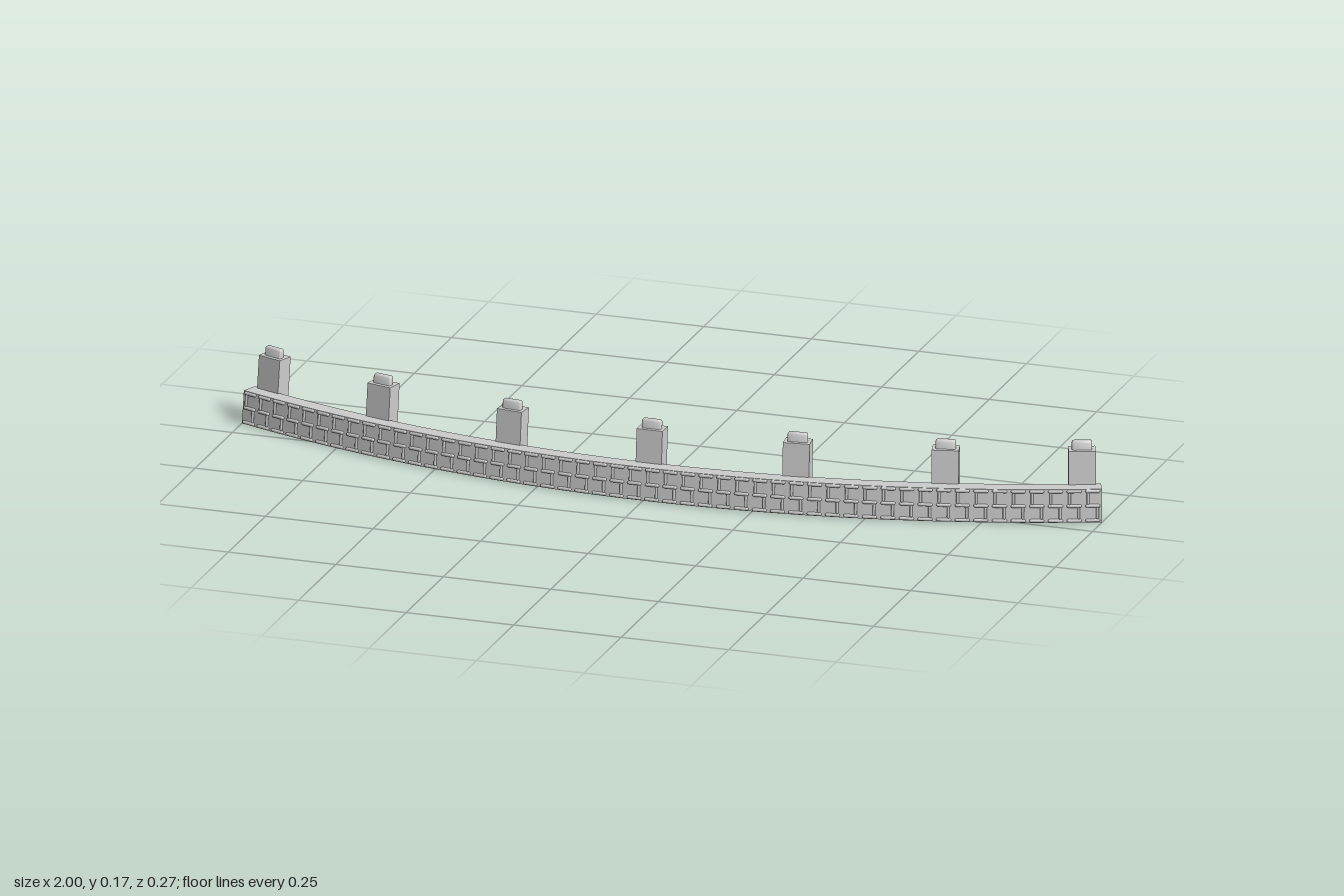
import * as THREE from 'three';
import { mergeGeometries, toCreasedNormals } from 'three/addons/utils/BufferGeometryUtils.js';
import { RoundedBoxGeometry } from 'three/addons/geometries/RoundedBoxGeometry.js';

const CENTRE_Z = -2.529;   // centre of the arc
const R_OUT = 2.66, R_IN = 2.624;
const HALF = Math.asin(1 / R_OUT);
const WALL_H = 0.075;
const LEAN = 0.087;        // backward lean per unit of height

const grey = new THREE.MeshStandardMaterial({ color: 0xcccccc, side: THREE.DoubleSide });

function add(parent, name, geometry) {
  const mesh = new THREE.Mesh(geometry, grey);
  mesh.name = name;
  parent.add(mesh);
  return mesh;
}

// Lean a shape backwards by shearing z with height
function lean(geometry) {
  geometry.applyMatrix4(new THREE.Matrix4().set(
    1, 0, 0, 0,
    0, 1, 0, 0,
    0, -LEAN, 1, 0,
    0, 0, 0, 1));
  geometry.computeVertexNormals();
  return toCreasedNormals(geometry, 0.6);
}

function rect(shape, w, d) {
  return shape.moveTo(-w / 2, -d / 2).lineTo(w / 2, -d / 2).lineTo(w / 2, d / 2).lineTo(-w / 2, d / 2).closePath();
}

// Curved leaning wall with closed ends
function buildWall() {
  const wall = new THREE.Group();
  wall.name = 'wall';
  const shift = LEAN * WALL_H;
  const profile = [
    [R_IN, 0], [R_OUT, 0], [R_OUT - shift, WALL_H], [R_IN - shift, WALL_H], [R_IN, 0],
  ].map(([r, y]) => new THREE.Vector2(r, y));
  add(wall, 'wallBody', toCreasedNormals(new THREE.LatheGeometry(profile, 50, -HALF, 2 * HALF), 0.5));
  for (const side of [-1, 1]) {
    const end = add(wall, side > 0 ? 'leftEnd' : 'rightEnd', new THREE.ShapeGeometry(new THREE.Shape(profile)));
    end.rotation.y = side * HALF - Math.PI / 2;
  }
  return wall;
}

// Raised courses and joints on the front face
function buildRelief() {
  const relief = new THREE.Group();
  relief.name = 'frontRelief';
  const columns = 50, step = 2 * HALF / columns;
  const place = (source, angle, y) => source.clone()
    .translate(0, y, R_OUT + 0.002 - LEAN * y)
    .rotateY(angle);

  const bar = new THREE.CapsuleGeometry(0.004, 0.025, 3, 8).rotateZ(Math.PI / 2);
  [0.005, 0.038, 0.071].forEach((y, row) => {
    const bars = [];
    for (let i = 0; i < columns; i++) bars.push(place(bar, -HALF + (i + 0.5) * step, y));
    add(relief, 'course' + (row + 1), mergeGeometries(bars));
  });

  const joint = new THREE.CapsuleGeometry(0.0032, 0.021, 2, 8).rotateX(-LEAN);
  [0.0215, 0.0545].forEach((y, row) => {
    const joints = [];
    for (let i = 0; i < columns; i++) joints.push(place(joint, -HALF + (i + (row ? 0.25 : 0.75)) * step, y));
    add(relief, 'joints' + (row + 1), mergeGeometries(joints));
  });
  return relief;
}

// Leaning post with a socket underneath and a tenon on top
function buildPost(bodyGeometry, tenonGeometry, angle) {
  const post = new THREE.Group();
  post.name = 'post';
  const radius = 2.6105;
  post.position.set(Math.sin(angle) * radius, 0, Math.cos(angle) * radius);
  post.rotation.y = angle;
  add(post, 'postBody', bodyGeometry);
  add(post, 'tenon', tenonGeometry);
  return post;
}

export function createModel() {
  const model = new THREE.Group();
  model.name = 'curvedParapet';
  const arc = new THREE.Group();
  arc.name = 'arc';
  arc.position.z = CENTRE_Z;
  model.add(arc);

  arc.add(buildWall(), buildRelief());

  // Post foot is a rectangular ring, the shaft above it is solid
  const w = 0.06, d = 0.037, footH = 0.022, postH = 0.15;
  const ring = rect(new THREE.Shape(), w, d);
  ring.holes.push(rect(new THREE.Path(), 0.048, 0.018));
  const foot = new THREE.ExtrudeGeometry(ring, { depth: footH, bevelEnabled: false }).rotateX(-Math.PI / 2);
  const shaft = new THREE.BoxGeometry(w, postH - footH, d).toNonIndexed().translate(0, (postH + footH) / 2, 0);
  const body = lean(mergeGeometries([foot, shaft]));
  const tenon = lean(new RoundedBoxGeometry(0.045, 0.045, 0.0155, 2, 0.005).translate(0, 0.1475, 0.002));

  for (const x of [-0.943, -0.657, -0.333, 0, 0.333, 0.657, 0.943]) {
    arc.add(buildPost(body, tenon, Math.asin(x / 2.6105)));
  }
  return model;
}
